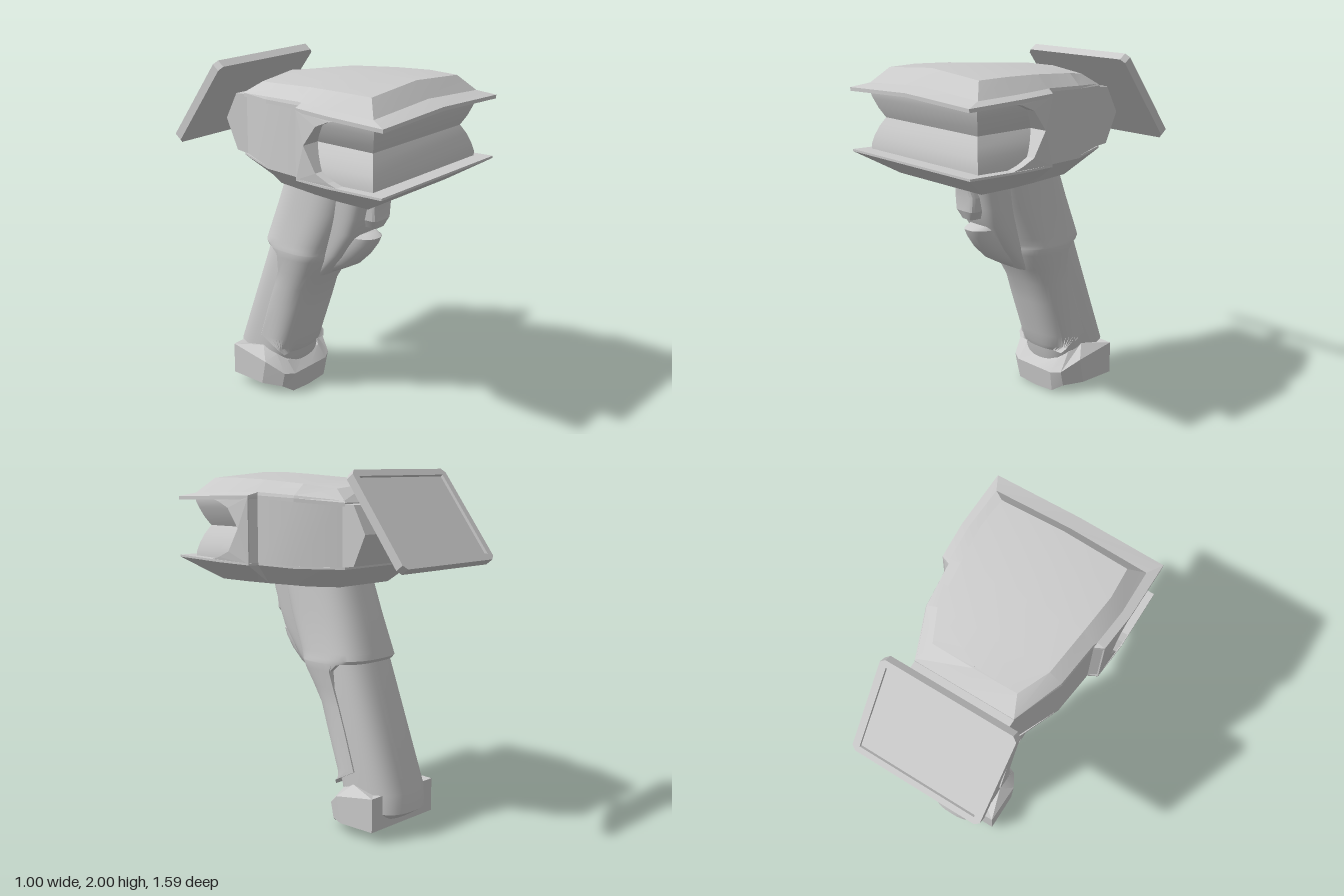
import * as THREE from 'three';
import { toCreasedNormals } from 'three/addons/utils/BufferGeometryUtils.js';

const material = new THREE.MeshStandardMaterial({ color: 0xcccccc });

// Closed skin through rings of [x, y, z] points, capped at both ends and turned outward
function loft(rings, crease = 0.5) {
  const n = rings[0].length;
  const tris = [];
  const vec = (p) => new THREE.Vector3(...p);
  const add = (a, b, c) => {
    const area = vec(b).sub(vec(a)).cross(vec(c).sub(vec(a))).length();
    if (area > 1e-7) tris.push([a, b, c]);
  };
  const middle = (r) => [0, 1, 2].map((k) => r.reduce((s, p) => s + p[k], 0) / n);
  const first = rings[0], last = rings[rings.length - 1];
  const c0 = middle(first), c1 = middle(last);
  for (let i = 0; i < n; i++) {
    const j = (i + 1) % n;
    for (let k = 0; k + 1 < rings.length; k++) {
      const a = rings[k], b = rings[k + 1];
      add(a[i], a[j], b[j]);
      add(a[i], b[j], b[i]);
    }
    add(c0, first[j], first[i]);
    add(c1, last[i], last[j]);
  }
  const volume = tris.reduce((s, [a, b, c]) => s + vec(a).dot(vec(b).cross(vec(c))), 0);
  if (volume < 0) tris.forEach((t) => t.reverse());
  const g = new THREE.BufferGeometry();
  g.setAttribute('position', new THREE.Float32BufferAttribute(tris.flat(2), 3));
  return toCreasedNormals(g, crease);
}

// Mirror half an outline (front centre, side, back centre) into a full ring
const mirror = (half) => [
  ...half,
  ...half.filter((p) => p[0] > 0).reverse().map(([x, y, z]) => [-x, y, z]),
];

// Rounded level section; points behind zMin are pulled forward to it
function section([y, zf, zb, w, zMin = -9], e = 2.8, n = 48) {
  const p = (v) => Math.sign(v) * Math.abs(v) ** (2 / e);
  return Array.from({ length: n }, (_, i) => {
    const a = (i / n) * Math.PI * 2;
    const z = (zf + zb) / 2 + ((zf - zb) / 2) * p(Math.sin(a));
    return [w * p(Math.cos(a)), y, Math.max(z, zMin)];
  });
}

// Side profile of [z, y] points, running from x0 to x1
function sideProfile(points, x0, x1) {
  const shape = new THREE.Shape(points.map((p) => new THREE.Vector2(...p)));
  const g = new THREE.ExtrudeGeometry(shape, { depth: x1 - x0, bevelEnabled: false });
  return g.rotateY(-Math.PI / 2).translate(x1, 0, 0);
}

function chamferedRect(w, h, c) {
  return [[-w + c, -h], [w - c, -h], [w, -h + c], [w, h - c], [w - c, h], [-w + c, h], [-w, h - c], [-w, -h + c]]
    .map((p) => new THREE.Vector2(...p));
}

export function createModel() {
  const model = new THREE.Group();
  const part = (name, geometry, parent = model) => {
    const mesh = new THREE.Mesh(geometry, material);
    mesh.name = name;
    parent.add(mesh);
    return mesh;
  };

  // Head: lower tray with a thin lip
  const rim = [[0, 0.8], [0.5, 0.8], [0.5, 0.45], [0.48, 0.235], [0.43, 0.21], [0.4, -0.04], [0.29, -0.31], [0, -0.31]];
  const floor = [[0, 0.6], [0.345, 0.6], [0.345, 0.4], [0.33, 0.23], [0.325, 0.2], [0.29, -0.04], [0.2, -0.19], [0, -0.19]];
  const trayY = [1.495, 1.495, 1.485, 1.48, 1.48, 1.475, 1.48, 1.48];
  part('lowerTray', loft([
    mirror(floor.map(([x, z]) => [x, 1.37, z])),
    mirror(rim.map(([x, z], i) => [x, trayY[i], z])),
    mirror(rim.map(([x, z], i) => [x, trayY[i] + 0.012, z])),
  ], 0.3));

  // Head: side walls and rear neck
  const wall = [[0.36, 0.3], [0.48, 0.24], [0.43, 0.21], [0.4, -0.04], [0.29, -0.29]];
  part('headBody', loft([1.48, 1.845].map((y) => mirror(wall.map(([x, z]) => [x, y - (z < 0 && y > 1.6 ? 0.015 : 0), z]))), 0.3));
  part('rearNeck', sideProfile([[-0.2, 1.48], [-0.37, 1.5], [-0.45, 1.67], [-0.37, 1.82], [-0.2, 1.83]], -0.29, 0.29));

  // Head: hood with a lip, a shoulder and a crowned top
  const lipY = [1.855, 1.835, 1.845, 1.85, 1.85, 1.84, 1.82, 1.82];
  const shoulder = [[0, 1.893, 0.705], [0.45, 1.866, 0.705], [0.455, 1.873, 0.45], [0.435, 1.878, 0.235],
    [0.425, 1.878, 0.21], [0.395, 1.865, -0.04], [0.285, 1.84, -0.3], [0, 1.84, -0.3]];
  const crest = [[0, 1.978, 0.63], [0.37, 1.95, 0.63], [0.38, 1.953, 0.45], [0.358, 1.945, 0.235],
    [0.355, 1.943, 0.21], [0.325, 1.925, -0.04], [0.245, 1.9, -0.21], [0, 1.925, -0.22]];
  const ridgeY = [1.978, 1.978, 1.982, 1.972, 1.97, 1.952, 1.925, 1.925];
  part('hood', loft([
    mirror(rim.map(([x, z], i) => [x, lipY[i] - 0.01, z])),
    mirror(rim.map(([x, z], i) => [x, lipY[i] + 0.01, z])),
    mirror(shoulder),
    mirror(crest),
    mirror(crest).map((p, i) => [0, ridgeY[i < 8 ? i : 14 - i], p[2]]),
  ], 0.25));

  // Scan window: a grooved band set back between the lips
  const groove = [[1.485, 0], [1.53, 0], [1.58, 0.012], [1.63, 0.03], [1.68, 0.055], [1.73, 0.03], [1.78, 0.012], [1.82, 0], [1.86, 0]];
  part('scanWindow', loft(groove.map(([y, d]) => mirror([[0.45 - d * 1.2, y, 0.71 - d], [0.45 - d * 1.2, y, 0.25]]))));

  // Side cheeks with an arched front edge
  const cheek = [[0.235, 1.485], [0.55, 1.49], [0.46, 1.515], [0.38, 1.55], [0.3, 1.68], [0.38, 1.79], [0.46, 1.825], [0.55, 1.845], [0.235, 1.85]];
  for (const s of [1, -1]) {
    const g = sideProfile(cheek, s > 0 ? 0.36 : -0.497, s > 0 ? 0.497 : -0.36);
    const p = g.attributes.position;
    for (let i = 0; i < p.count; i++) {
      if (p.getZ(i) < 0.25 && Math.abs(p.getX(i)) > 0.4) p.setX(i, s * 0.48);
    }
    g.computeVertexNormals();
    part(s > 0 ? 'leftCheek' : 'rightCheek', g);
  }

  // Handle: outer shell as [y, front z, back z, half width, cut z], open over the rear grip
  part('handleShell', loft([
    [1.42, 0.33, -0.15, 0.21], [1.2, 0.27, -0.23, 0.215], [1.0, 0.18, -0.3, 0.23], [0.965, 0.165, -0.31, 0.235],
    [0.945, 0.155, -0.29, 0.238], [0.94, 0.155, -0.29, 0.238, -0.18], [0.9, 0.14, -0.31, 0.235, -0.14],
    [0.8, 0.09, -0.35, 0.214, -0.15], [0.7, 0.03, -0.39, 0.21, -0.185], [0.57, -0.01, -0.44, 0.21, -0.23],
    [0.35, -0.085, -0.51, 0.21, -0.3], [0.28, -0.105, -0.54, 0.205, -0.16], [0.25, -0.12, -0.54, 0.18, -0.14],
  ].map((r) => section(r))));
  part('rearGrip', loft([
    [0.97, 0.1, -0.28, 0.2], [0.25, -0.125, -0.55, 0.2], [0.14, -0.14, -0.56, 0.19], [0.1, -0.16, -0.5, 0.16],
  ].map((r) => section(r))));

  // Trigger housing, trigger and finger rest
  part('triggerHousing', loft([
    [1.42, 0.44, 0, 0.175], [1.2, 0.375, 0, 0.16], [1.1, 0.34, 0, 0.15], [0.95, 0.24, -0.05, 0.135], [0.8, 0.1, -0.1, 0.12],
  ].map((r) => section(r, 4))));
  part('trigger', loft([
    [1.35, 0.46, 0.3, 0.058], [1.27, 0.442, 0.3, 0.084], [1.19, 0.442, 0.3, 0.075], [1.14, 0.42, 0.3, 0.045],
  ].map((r) => section(r, 5, 16)), 0.4));
  part('fingerRest', loft([
    [1.095, 0.37, 0, 0.1], [1.075, 0.41, 0, 0.105], [1.03, 0.39, 0, 0.105], [0.96, 0.34, 0, 0.1],
    [0.89, 0.27, 0, 0.085], [0.84, 0.18, 0, 0.07], [0.8, 0.1, -0.05, 0.05],
  ].map((r) => section(r, 2.4, 32)), 0.6));

  // Foot: chamfered front, square back
  part('foot', loft([
    [[0, 0, -0.105], [0.14, 0.01, -0.105], [0.2, 0.05, -0.14], [0.26, 0.06, -0.25], [0.26, 0.06, -0.48], [0, 0.06, -0.48]],
    [[0, 0.13, -0.09], [0.14, 0.13, -0.09], [0.2, 0.14, -0.12], [0.26, 0.21, -0.22], [0.26, 0.25, -0.48], [0, 0.25, -0.48]],
    [[0, 0.19, -0.15], [0.14, 0.2, -0.15], [0.18, 0.24, -0.2], [0.2, 0.28, -0.29], [0.26, 0.25, -0.48], [0, 0.25, -0.48]],
  ].map(mirror), 0.3));

  // Display stem
  part('displayStem', sideProfile([[-0.42, 1.645], [-0.42, 1.695], [-0.61, 1.725], [-0.635, 1.67]], -0.04, 0.04));

  // Tilted display: back plate, raised bezel and recessed screen
  const display = new THREE.Group();
  display.name = 'display';
  const frame = new THREE.Shape(chamferedRect(0.385, 0.3, 0.025));
  part('displayBack', new THREE.ExtrudeGeometry(frame, { depth: 0.03, bevelEnabled: false }), display).position.z = -0.025;
  const bezel = new THREE.Shape(chamferedRect(0.385, 0.3, 0.025));
  bezel.holes.push(new THREE.Path(chamferedRect(0.345, 0.26, 0.001).reverse()));
  part('bezel', new THREE.ExtrudeGeometry(bezel, { depth: 0.022, bevelEnabled: false }), display).position.z = 0.003;
  part('screen', new THREE.BoxGeometry(0.69, 0.52, 0.01), display).position.z = 0.004;
  display.quaternion.setFromRotationMatrix(new THREE.Matrix4().makeBasis(
    new THREE.Vector3(-1, 0, 0), new THREE.Vector3(0, 0.8, 0.6), new THREE.Vector3(0, 0.6, -0.8)));
  display.position.set(0, 1.747, -0.593);
  model.add(display);

  return model;
}
